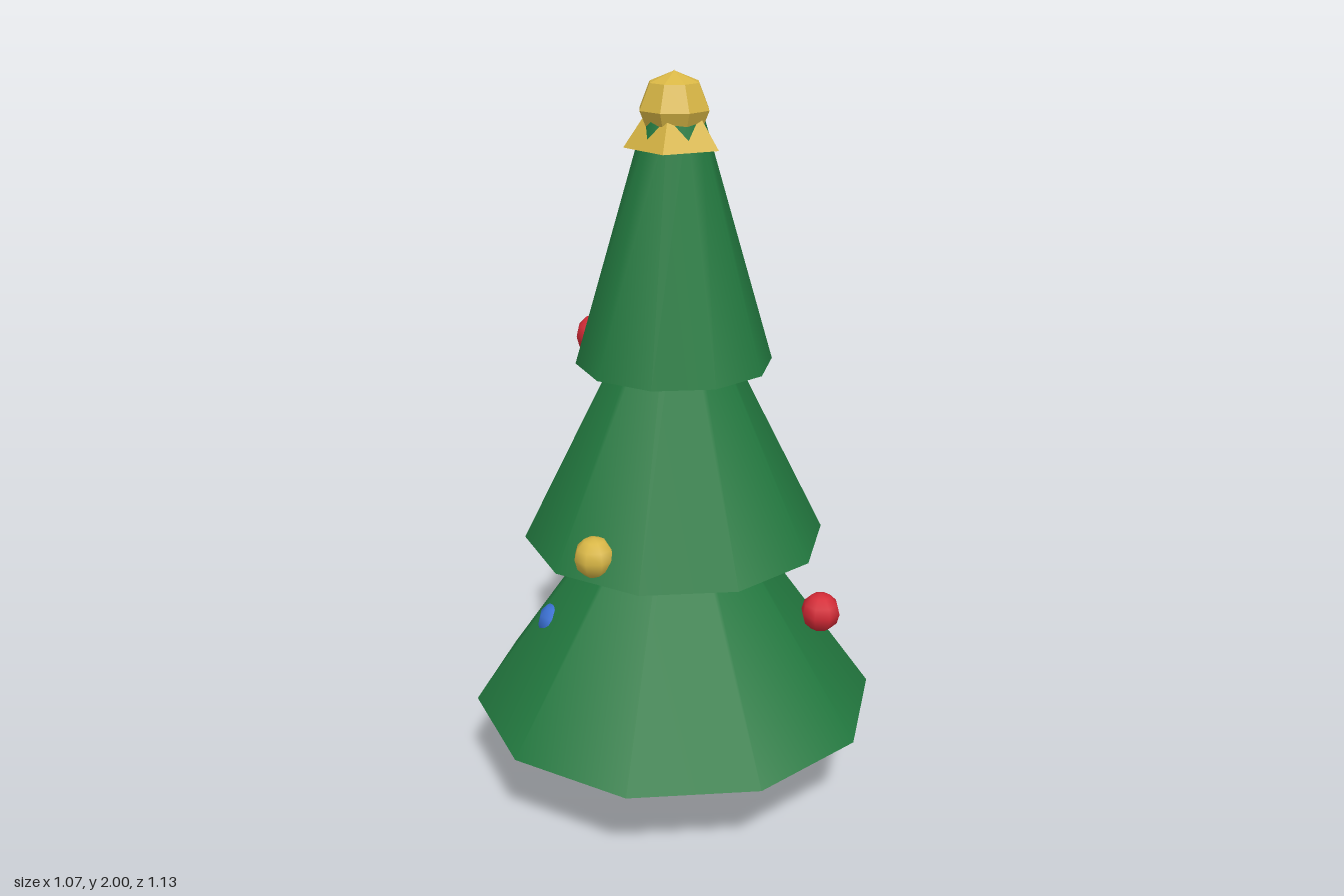
import * as THREE from 'three';

export function createModel() {
  const tree = new THREE.Group();
  tree.name = 'decoratedTree';

  const material = (name, color) => {
    const m = new THREE.MeshStandardMaterial({ color });
    m.name = name;
    return m;
  };
  const green = material('needleGreen', 0x237a40);
  const brown = material('barkBrown', 0x6b432b);
  const gold = material('gold', 0xd8b645);
  const red = material('red', 0xd42a36);
  const blue = material('blue', 0x3a70d2);

  const add = (name, geometry, mat, x, y, z) => {
    const mesh = new THREE.Mesh(geometry, mat);
    mesh.name = name;
    mesh.position.set(x, y, z);
    tree.add(mesh);
    return mesh;
  };

  // Facets with hard edges
  const faceted = (geometry) => {
    const g = geometry.toNonIndexed();
    g.computeVertexNormals();
    return g;
  };

  // Trunk
  add('trunk', new THREE.CylinderGeometry(0.092, 0.092, 0.3, 8), brown, 0, 0.15, 0);

  // Three ten-sided tiers: bottom height, top height, bottom radius, top radius
  const tiers = [
    ['lowerTier', 0.25, 1.0, 0.565, 0.036],
    ['middleTier', 0.75, 1.5, 0.412, 0.04],
    ['upperTier', 1.245, 1.88, 0.262, 0.077],
  ];
  for (const [name, y0, y1, r0, r1] of tiers) {
    add(name, new THREE.CylinderGeometry(r1, r0, y1 - y0, 10), green, 0, (y0 + y1) / 2, 0);
  }

  // Tree topper: five-sided skirt with a faceted ball
  const skirt = add('topperSkirt', faceted(new THREE.ConeGeometry(0.129, 0.19, 5)), gold, 0, 1.905, 0);
  skirt.rotation.y = Math.PI;
  add('topperBall', faceted(new THREE.SphereGeometry(0.094, 8, 4)), gold, 0, 1.904, 0);

  // Baubles, partly sunk into the tiers
  const bauble = new THREE.SphereGeometry(0.055, 8, 6);
  const baubles = [
    ['redBaubleLow', red, 0.344, 0.537, 0.229],
    ['redBaubleHigh', red, -0.17, 1.3, -0.135],
    ['blueBaubleHigh', blue, 0.188, 1.07, -0.266],
    ['blueBaubleLow', blue, -0.325, 0.5, -0.075],
    ['goldBaubleFront', gold, -0.307, 0.81, 0.193],
    ['goldBaubleBack', gold, 0.266, 0.768, -0.228],
  ];
  for (const [name, mat, x, y, z] of baubles) add(name, bauble, mat, x, y, z);

  return tree;
}
